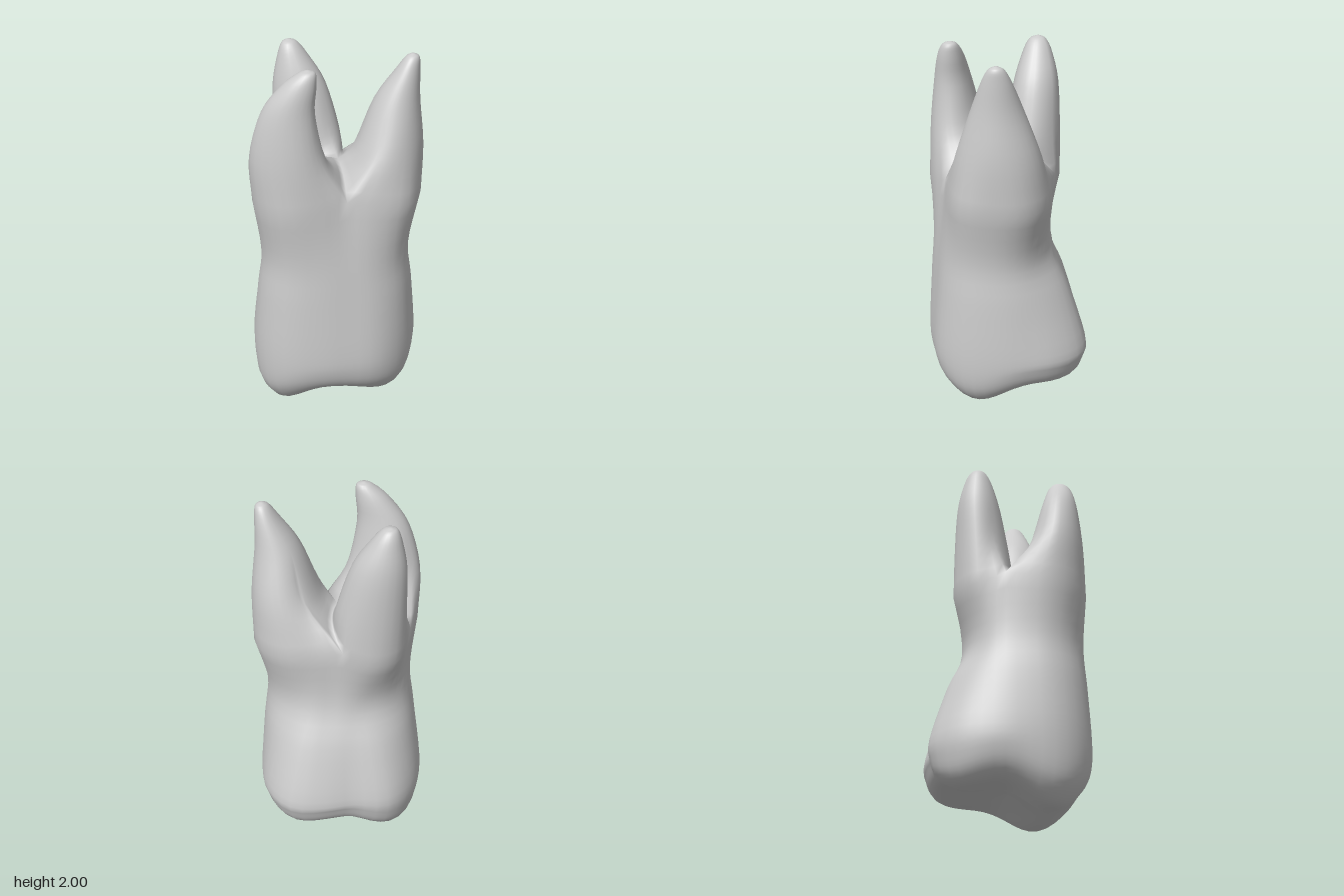
import * as THREE from 'three';

const N = 48; // columns around the body
const STEPS = 4; // rings per span between control sections

// Outline radii every 22.5 degrees, from +x towards +z
const CROWN = [.445, .455, .45, .425, .445, .492, .5, .467, .465, .478, .475, .405, .435, .492, .48, .45];
const NECK = [.405, .42, .40, .38, .41, .46, .458, .40, .365, .32, .275, .25, .24, .275, .322, .375];
const TRUNK = [.46, .465, .385, .34, .405, .495, .505, .425, .37, .39, .355, .28, .245, .282, .38, .45];

// Columns where the trunk splits, the [x, z] each valley bends past, and the point where they meet
const FORKS = [9, 23, 34];
const BENDS = [[.08, .15], [-.17, .07], [.06, -.11]];
const FORK_Y = 1.28;
const SADDLE = new THREE.Vector3(0.02, 1.4, 0.04);

// Roots: the fork each starts from, then sections as [x, y, z, radius x, radius z]
const ROOTS = [
  { name: 'frontRoot', sections: [
    [-.187, 1.5, .302, .2, .148], [-.175, 1.75, .323, .14, .102], [-.117, 1.9, .322, .09, .072],
    [-.076, 1.97, .317, .046, .042], [-.072, 1.987, .315, .012, .012]] },
  { name: 'backRightRoot', sections: [
    [-.19, 1.5, -.11, .183, .15], [-.227, 1.75, -.123, .142, .12], [-.26, 1.9, -.124, .082, .08],
    [-.276, 1.968, -.123, .043, .046], [-.28, 1.985, -.125, .012, .012]] },
  { name: 'leftRoot', sections: [
    [.285, 1.5, -.005, .18, .222], [.322, 1.75, -.005, .12, .136], [.373, 1.91, -.01, .064, .078],
    [.395, 1.978, -.012, .037, .043], [.398, 1.997, -.012, .012, .012]] },
];

// Cusps and ridge of the biting surface: [x, z, height]
const CUSPS = [[-.24, .26, .23], [.28, .1, .175], [-.33, -.16, .13], [.17, -.3, .06], [.08, .28, .055]];
function biteHeight(x, z) {
  let y = 0.235;
  for (const [cx, cz, h] of CUSPS) y -= h * Math.exp(-((x - cx) ** 2 + (z - cz) ** 2) / 0.045);
  return Math.max(0, y);
}

// Smooth closed interpolation of an outline's radii
function radiusAt(outline, column) {
  const n = outline.length, f = (column / N) * n, i = Math.floor(f), t = f - i;
  const [a, b, c, d] = [-1, 0, 1, 2].map((k) => outline[(i + k + n) % n]);
  return b + 0.5 * t * (c - a + t * (2 * a - 5 * b + 4 * c - d + t * (3 * (b - c) + d - a)));
}

// Height of the trunk's upper edge: high at the forks, lower under each root
function trunkTop(column) {
  for (let k = 0; k < 3; k++) {
    const start = FORKS[k], length = (FORKS[(k + 1) % 3] - start + N) % N;
    const along = (column - start + N) % N;
    if (along < length) return FORK_Y - 0.06 * Math.sin((Math.PI * along) / length);
  }
}

// Control points of one body column, from the middle of the bite up to the forks
function bodyColumn(column) {
  const angle = (column / N) * Math.PI * 2;
  const crown = radiusAt(CROWN, column), neck = radiusAt(NECK, column);
  const at = (r, y) => new THREE.Vector3(r * Math.cos(angle), y, r * Math.sin(angle));
  const bite = (s, lift) => {
    const p = at(crown * s, 0);
    p.y = biteHeight(p.x, p.z) + lift;
    return p;
  };
  return [
    bite(.04, 0), bite(.3, 0), bite(.55, 0), bite(.76, .003), bite(.9, .022), bite(.982, .09),
    at(crown, .39), at((crown + neck) / 2, .69), at(neck, .93), at(radiusAt(TRUNK, column), trunkTop(column)),
  ];
}

export function createModel() {
  const points = [];
  const parts = { bitingSurface: [], crown: [], rootTrunk: [] };
  const addPoint = (p) => points.push(p) - 1;

  // Joins two closed rings of equal length
  function bridge(faces, a, b) {
    a.forEach((p, i) => {
      const j = (i + 1) % a.length;
      faces.push(p, b[i], a[j], b[i], b[j], a[j]);
    });
  }
  // Samples control columns into rings of point indices
  function makeRings(columns, first) {
    const curves = columns.map((c) => new THREE.CatmullRomCurve3(c, false, 'catmullrom', 0.5));
    const total = (columns[0].length - 1) * STEPS, rings = [];
    for (let s = first; s <= total; s++) rings.push(curves.map((c) => addPoint(c.getPoint(s / total))));
    return rings;
  }

  // Biting surface, crown and trunk
  const body = makeRings(Array.from({ length: N }, (_, i) => bodyColumn(i)), 0);
  const middle = addPoint(new THREE.Vector3(0, biteHeight(0, 0), 0));
  body[0].forEach((p, i) => parts.bitingSurface.push(middle, p, body[0][(i + 1) % N]));
  for (let s = 0; s + 1 < body.length; s++) {
    const span = s / STEPS;
    bridge(span < 4 ? parts.bitingSurface : span < 8 ? parts.crown : parts.rootTrunk, body[s], body[s + 1]);
  }

  // Curved valleys running from each fork to the saddle
  const edge = body[body.length - 1];
  const saddle = addPoint(SADDLE.clone());
  const valleys = FORKS.map((f, k) => {
    const bend = new THREE.Vector3(BENDS[k][0], SADDLE.y - 0.01, BENDS[k][1]);
    return new THREE.QuadraticBezierCurve3(points[edge[f]], bend, SADDLE).getPoints(6).slice(1, -1).map(addPoint);
  });

  // Roots grow from their share of the trunk edge plus two valleys
  ROOTS.forEach(({ name, sections }, k) => {
    const next = (k + 1) % 3, length = (FORKS[next] - FORKS[k] + N) % N;
    const base = [];
    for (let i = 0; i <= length; i++) base.push(edge[(FORKS[k] + i) % N]);
    base.push(...valleys[next], saddle, ...[...valleys[k]].reverse());

    const centre = new THREE.Vector3();
    base.forEach((i) => centre.addScaledVector(points[i], 1 / base.length));
    const columns = base.map((i) => {
      const p = points[i], angle = Math.atan2(p.z - centre.z, p.x - centre.x);
      return [p.clone(), ...sections.map(([x, y, z, rx, rz]) =>
        new THREE.Vector3(x + rx * Math.cos(angle), y, z + rz * Math.sin(angle)))];
    });
    const rings = [base, ...makeRings(columns, 1)];
    const faces = (parts[name] = []);
    for (let s = 0; s + 1 < rings.length; s++) bridge(faces, rings[s], rings[s + 1]);

    const [x, y, z] = sections[sections.length - 1];
    const tip = addPoint(new THREE.Vector3(x, y + 0.003, z));
    const last = rings[rings.length - 1];
    last.forEach((p, i) => faces.push(p, tip, last[(i + 1) % last.length]));
  });

  // Normals come from the whole surface so the parts meet without seams
  const whole = new THREE.BufferGeometry().setFromPoints(points);
  whole.setIndex(Object.values(parts).flat());
  whole.computeVertexNormals();

  const material = new THREE.MeshStandardMaterial({ color: 0xcccccc });
  const group = new THREE.Group();
  group.name = 'molarTooth';
  for (const [name, faces] of Object.entries(parts)) {
    const geometry = new THREE.BufferGeometry();
    geometry.setAttribute('position', whole.getAttribute('position'));
    geometry.setAttribute('normal', whole.getAttribute('normal'));
    geometry.setIndex(faces);
    const mesh = new THREE.Mesh(geometry, material);
    mesh.name = name;
    group.add(mesh);
  }
  return group;
}
